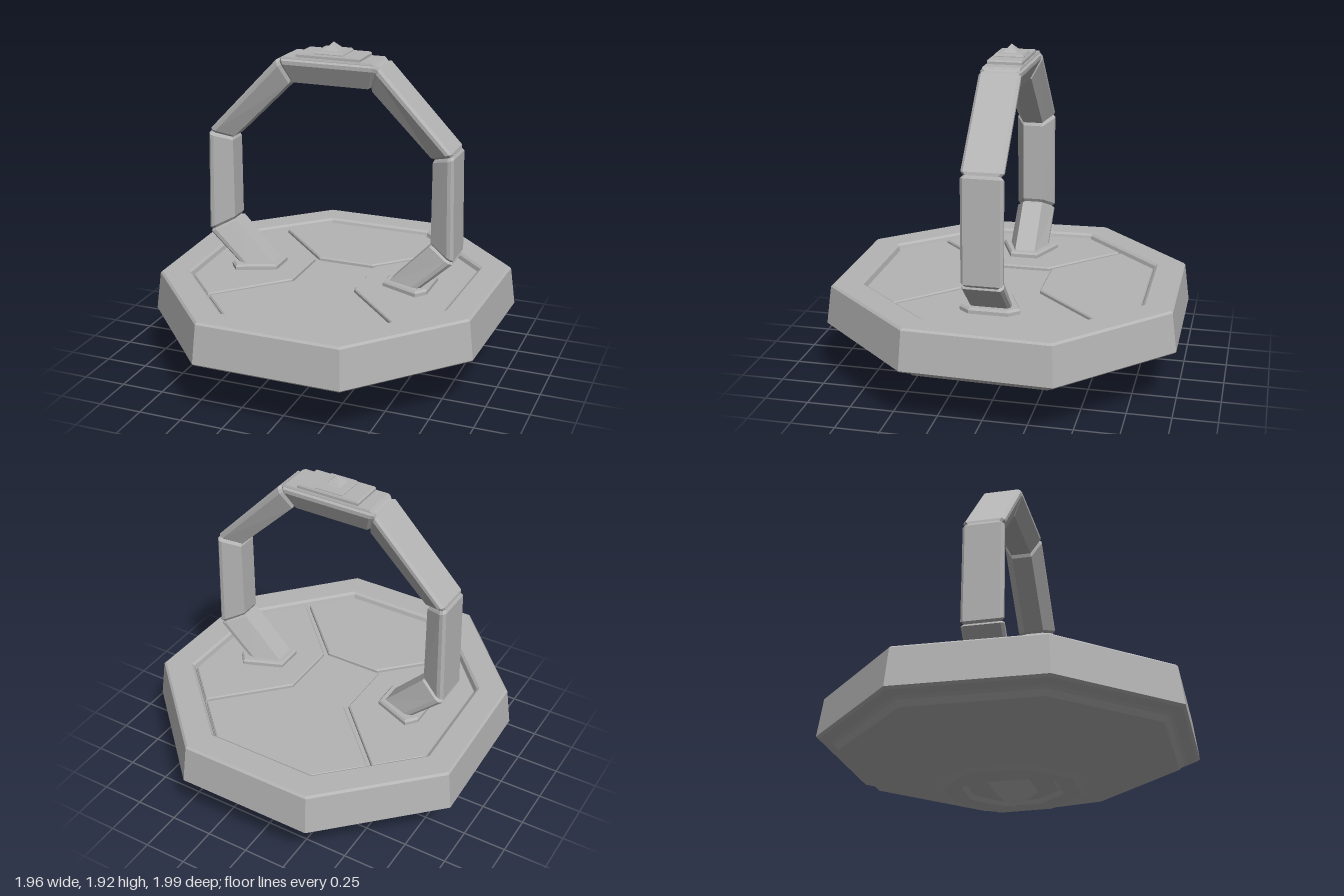
import * as THREE from 'three';

const grey = new THREE.MeshStandardMaterial({ color: 0xb4b4b4 });
grey.name = 'stone grey';

// Skin a series of equal-length rings, closing both ends; faceted normals.
function loft(rings) {
  const pos = [];
  const tri = (a, b, c) => pos.push(...a, ...b, ...c);
  const n = rings[0].length;
  for (let r = 0; r < rings.length - 1; r++) {
    const a = rings[r], b = rings[r + 1];
    for (let i = 0; i < n; i++) {
      const j = (i + 1) % n;
      tri(a[i], a[j], b[j]);
      tri(a[i], b[j], b[i]);
    }
  }
  const first = rings[0], last = rings[rings.length - 1];
  for (let i = 1; i < n - 1; i++) {
    tri(first[0], first[i + 1], first[i]);
    tri(last[0], last[i], last[i + 1]);
  }
  const g = new THREE.BufferGeometry();
  g.setAttribute('position', new THREE.Float32BufferAttribute(pos, 3));
  g.computeVertexNormals();
  return g;
}

// Low plate from an [x, z] outline with a small bevel around its top.
function plate(outline, y0, y1, bevel) {
  const n = outline.length;
  const cx = outline.reduce((s, p) => s + p[0], 0) / n;
  const cz = outline.reduce((s, p) => s + p[1], 0) / n;
  const area = outline.reduce((s, p, i) => {
    const q = outline[(i + 1) % n];
    return s + p[0] * q[1] - q[0] * p[1];
  }, 0);
  const pts = area > 0 ? [...outline].reverse() : outline;
  const ring = (y, inset) => pts.map(([x, z]) => {
    const k = 1 - inset / Math.hypot(x - cx, z - cz);
    return [cx + (x - cx) * k, y, cz + (z - cz) * k];
  });
  return loft([ring(y0, 0), ring(y1 - bevel, 0), ring(y1, bevel)]);
}

const rect = (w, d) => [[w, d], [w, -d], [-w, -d], [-w, d]];

export function createModel() {
  const model = new THREE.Group();
  const add = (name, geometry) => {
    const m = new THREE.Mesh(geometry, grey);
    m.name = name;
    model.add(m);
    return m;
  };

  // Octagonal dish: scale and height of each ring, from underside to recessed floor
  const octagon = [[0.955, 0.4], [0.98, -0.43], [0.4, -1], [-0.4, -1],
    [-0.98, -0.43], [-0.955, 0.4], [-0.42, 0.99], [0.42, 0.99]];
  const profile = [[0.24, 0.115], [0.26, 0.095], [0.36, 0.09], [0.39, 0.105],
    [0.885, 0.275], [0.91, 0.305], [0.93, 0.318], [0.985, 0.332], [1, 0.345],
    [0.972, 0.565], [0.96, 0.576], [0.815, 0.576], [0.8, 0.565], [0.79, 0.53]];
  add('dish', loft(profile.map(([s, y]) => octagon.map(([x, z]) => [x * s, y, z * s]))));

  // Four floor panels, separated by diagonal grooves around a sunken square
  add('backPanel', plate([[-0.17, -0.2], [0.17, -0.2], [0.535, -0.57], [0.312, -0.79],
    [-0.312, -0.79], [-0.535, -0.57]], 0.525, 0.553, 0.008));
  add('frontPanel', plate([[-0.17, 0.19], [0.17, 0.19], [0.53, 0.555], [0.328, 0.775],
    [-0.328, 0.775], [-0.53, 0.555]], 0.525, 0.553, 0.008));
  for (const s of [1, -1]) {
    add(s > 0 ? 'leftPanel' : 'rightPanel', plate([[0.19, 0.172], [0.19, -0.182],
      [0.553, -0.553], [0.77, -0.34], [0.75, 0.315], [0.548, 0.538]]
      .map(([x, z]) => [x * s, z]), 0.525, 0.553, 0.008));
    // Pads under the handle feet
    add(s > 0 ? 'leftFootPad' : 'rightFootPad', plate([[0.55, 0.17], [0.33, 0.08],
      [0.33, -0.08], [0.55, -0.17], [0.6, -0.11], [0.6, 0.11]]
      .map(([x, z]) => [x * s, z]), 0.545, 0.585, 0.012));
  }

  // Downward point under the dish
  const point = add('bottomPoint', new THREE.ConeGeometry(0.12 * Math.SQRT2, 0.12, 4).toNonIndexed());
  point.geometry.rotateY(Math.PI / 4).rotateX(Math.PI).computeVertexNormals();
  point.position.y = 0.06;

  // Handle: mitred segments between an outer and an inner outline
  const half = [[[0.53, 0.555], [0.335, 0.555]], [[0.745, 0.755], [0.6, 0.83]],
    [[0.73, 1.37], [0.6, 1.325]], [[0.29, 1.83], [0.235, 1.685]]];
  const joints = [...half, ...[...half].reverse().map((j) => j.map(([x, y]) => [-x, y]))];
  // Section: depth from outer to inner face, and z
  const section = [[0, 0.1], [0, -0.1], [0.1, -0.115], [0.25, -0.115],
    [1, -0.06], [1, 0.06], [0.25, 0.115], [0.1, 0.115]];
  const mix = THREE.MathUtils.lerp;
  for (let i = 0; i < joints.length - 1; i++) {
    const [a, b] = [joints[i], joints[i + 1]];
    const ring = (s, k) => section.map(([d, z]) => {
      const t = 0.5 + (d - 0.5) * k;
      const at = (c) => mix(mix(a[0][c], b[0][c], s), mix(a[1][c], b[1][c], s), t);
      return [at(0), at(1), z * k];
    });
    add('handleSegment' + (i + 1),
      loft([ring(0, 0.86), ring(0.03, 1), ring(0.97, 1), ring(1, 0.86)]));
  }

  // Stepped crest with a small pyramid
  add('crestBase', plate(rect(0.27, 0.105), 1.81, 1.838, 0.01));
  add('crestStep', plate(rect(0.187, 0.097), 1.83, 1.86, 0.008));
  add('crestMount', plate(rect(0.085, 0.085), 1.85, 1.876, 0.012));
  const gem = add('crestPyramid', new THREE.ConeGeometry(0.05 * Math.SQRT2, 0.05, 4).toNonIndexed());
  gem.geometry.rotateY(Math.PI / 4).computeVertexNormals();
  gem.position.y = 1.895;

  return model;
}
